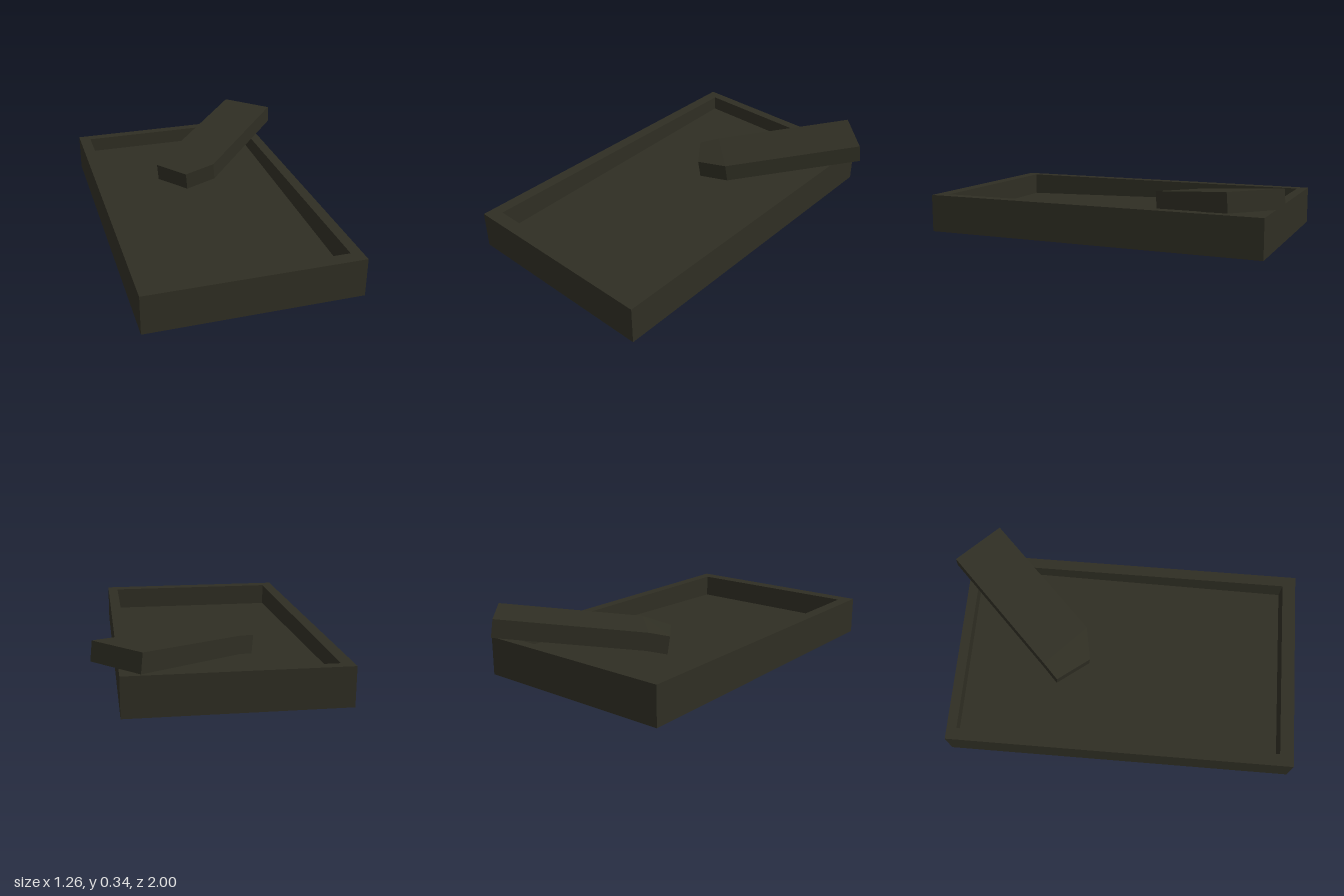
import * as THREE from 'three';

const darkOlive = new THREE.MeshStandardMaterial({ color: 0x2f2e23 });
darkOlive.name = 'darkOlive';

function part(name, geometry) {
  const flat = geometry.index ? geometry.toNonIndexed() : geometry;
  flat.computeVertexNormals();
  const mesh = new THREE.Mesh(flat, darkOlive);
  mesh.name = name;
  return mesh;
}

// Corners of a rectangle on the ground plane (shape y becomes -z)
const rect = (x0, x1, z0, z1) => [[x0, -z1], [x1, -z1], [x1, -z0], [x0, -z0]]
  .map(([x, y]) => new THREE.Vector2(x, y));

const inner = { x0: -0.57, x1: 0.44, z0: -0.865, z1: 0.925 };

// Rectangular wall around the tray
function rimGeometry() {
  const shape = new THREE.Shape(rect(-0.635, 0.5, -0.92, 1));
  shape.holes.push(new THREE.Path(rect(inner.x0, inner.x1, inner.z0, inner.z1).reverse()));
  return new THREE.ExtrudeGeometry(shape, { depth: 0.21, bevelEnabled: false }).rotateX(-Math.PI / 2);
}

// Tray floor, sloping gently down to the front
function floorGeometry() {
  const { x0, x1, z0, z1 } = inner;
  const geo = new THREE.BoxGeometry(x1 - x0, 1, z1 - z0);
  geo.translate((x0 + x1) / 2, 0.5, (z0 + z1) / 2);
  const p = geo.attributes.position;
  for (let i = 0; i < p.count; i++) {
    if (p.getY(i) > 0.5) p.setY(i, p.getZ(i) < 0 ? 0.125 : 0.082);
  }
  return geo;
}

// Leaning slab: top edge points at the raised end, the bend and the tip
function slabGeometry() {
  const left = [[0.395, 0.343, -0.99], [-0.165, 0.24, -0.42], [-0.245, 0.216, -0.34]];
  const right = [[0.62, 0.343, -0.765], [0.07, 0.242, -0.2], [-0.11, 0.214, -0.165]];
  const geo = new THREE.BoxGeometry(1, 1, 2, 1, 1, 2);
  const p = geo.attributes.position;
  for (let i = 0; i < p.count; i++) {
    const station = Math.round(p.getZ(i)) + 1;
    const [x, y, z] = (p.getX(i) < 0 ? left : right)[station];
    const under = p.getY(i) < 0 ? 1 : 0;
    p.setXYZ(i, x + 0.01 * under, y - 0.1 * under, z - 0.01 * under);
  }
  return geo;
}

export function createModel() {
  const model = new THREE.Group();
  model.name = 'trayWithSlab';
  model.add(
    part('trayRim', rimGeometry()),
    part('trayFloor', floorGeometry()),
    part('leaningSlab', slabGeometry()),
  );
  return model;
}
